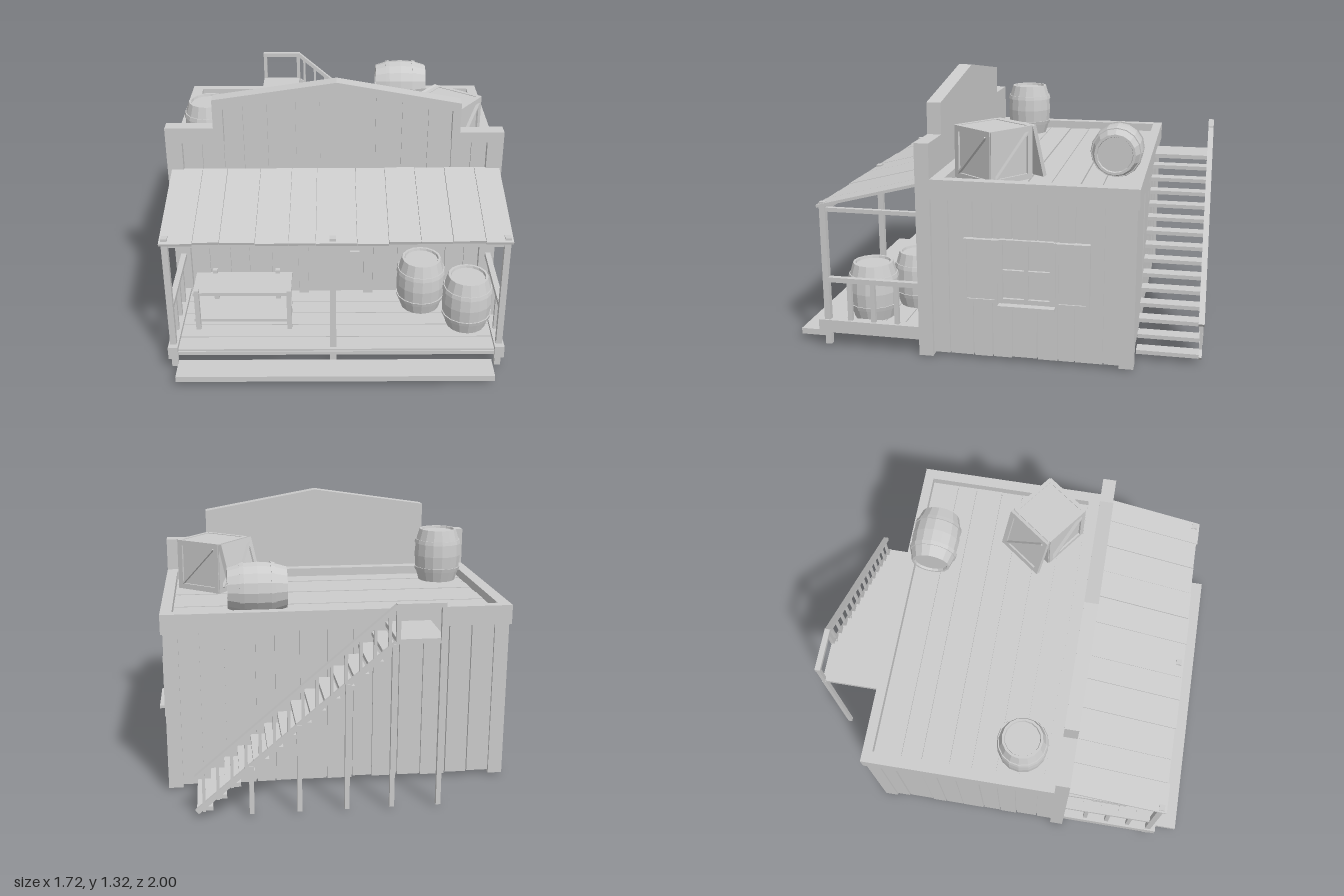
import * as THREE from 'three';

const material = new THREE.MeshStandardMaterial({ color: 0xcccccc, flatShading: true, side: THREE.DoubleSide });

let seed = 7;
const rand = () => (seed = (seed * 16807) % 2147483647) / 2147483647;

function add(parent, name, geometry) {
  const mesh = new THREE.Mesh(geometry, material);
  mesh.name = name;
  parent.add(mesh);
  return mesh;
}

// Box given by its lower and upper limits on each axis
function block(parent, name, x0, x1, y0, y1, z0, z1) {
  const mesh = add(parent, name, new THREE.BoxGeometry(x1 - x0, y1 - y0, z1 - z0));
  mesh.position.set((x0 + x1) / 2, (y0 + y1) / 2, (z0 + z1) / 2);
  return mesh;
}

// Square bar between two points
function bar(parent, name, a, b, t, w = t) {
  const p = new THREE.Vector3(...a), q = new THREE.Vector3(...b);
  const mesh = add(parent, name, new THREE.BoxGeometry(w, t, p.distanceTo(q)));
  mesh.position.copy(p).add(q).multiplyScalar(0.5);
  mesh.lookAt(q);
  return mesh;
}

function plate(parent, name, points, z0, z1) {
  const shape = new THREE.Shape(points.map(p => new THREE.Vector2(...p)));
  const mesh = add(parent, name, new THREE.ExtrudeGeometry(shape, { depth: z1 - z0, bevelEnabled: false }));
  mesh.position.z = z0;
  return mesh;
}

function group(parent, name) {
  const g = new THREE.Group();
  g.name = name;
  parent.add(g);
  return g;
}

// Uneven cuts between a and b
function cuts(a, b, n) {
  const step = (b - a) / n;
  return Array.from({ length: n + 1 }, (_, i) => a + i * step + (i % n ? (rand() - 0.5) * step * 0.35 : 0));
}

function barrel(parent, x, y, z) {
  const g = group(parent, 'barrel');
  const lathe = pts => new THREE.LatheGeometry(pts.map(p => new THREE.Vector2(...p)), 16);
  add(g, 'staves', lathe([[0, -0.13], [0.085, -0.13], [0.088, -0.142], [0.1, -0.142], [0.12, -0.075], [0.126, 0],
    [0.12, 0.075], [0.1, 0.142], [0.088, 0.142], [0.085, 0.13], [0, 0.13]]));
  for (const s of [-1, 1]) {
    add(g, 'hoop', lathe([[0.118, s * 0.065], [0.127, s * 0.065], [0.122, s * 0.085], [0.113, s * 0.085]]));
  }
  g.position.set(x, y, z);
  return g;
}

// Square panel with a raised frame and a diagonal brace, facing +z
function bracedPanel(parent, name, size) {
  const g = group(parent, name), h = size / 2, w = 0.028;
  block(g, 'board', -h, h, -h, h, -0.012, 0);
  for (const s of [-1, 1]) {
    block(g, 'frameRail', -h, h, s * (h - w / 2) - w / 2, s * (h - w / 2) + w / 2, 0, 0.01);
    block(g, 'frameStile', s * (h - w / 2) - w / 2, s * (h - w / 2) + w / 2, -h + w, h - w, 0, 0.01);
  }
  bar(g, 'brace', [-h + w, -h + w, 0.003], [h - w, h - w, 0.003], 0.008, 0.03);
  return g;
}

function buildWalls(model) {
  const walls = group(model, 'walls');
  for (const [x0, x1] of [[-0.825, -0.79], [0.75, 0.785]]) block(walls, 'sideWall', x0, x1, 0.02, 0.84, -0.65, 0.3);
  block(walls, 'backWall', -0.8, 0.76, 0.02, 0.84, -0.65, -0.62);
  const side = cuts(-0.62, 0.3, 9), back = cuts(-0.8, 0.76, 13);
  for (let i = 0; i < 9; i++) {
    const d = rand() * 0.006, y = 0.012 + rand() * 0.012;
    block(walls, 'sideBoard', 0.78, 0.796 + d, y, 0.8, side[i] + 0.003, side[i + 1] - 0.003);
    block(walls, 'sideBoard', -0.836 - d, -0.82, y, 0.8, side[i] + 0.003, side[i + 1] - 0.003);
  }
  for (let i = 0; i < 13; i++) {
    block(walls, 'backBoard', back[i] + 0.003, back[i + 1] - 0.003, 0.012 + rand() * 0.012, 0.8, -0.664 - rand() * 0.006, -0.645);
  }
  for (const [x0, x1] of [[-0.85, -0.78], [0.74, 0.81]]) block(walls, 'cornerPost', x0, x1, 0.01, 0.79, -0.68, -0.61);

  // Roof deck inside a raised rim
  const roof = group(model, 'roof');
  block(roof, 'ceiling', -0.8, 0.77, 0.8, 0.83, -0.65, 0.3);
  const rows = cuts(-0.64, 0.23, 7);
  for (let i = 0; i < 7; i++) block(roof, 'roofPlank', -0.8, 0.77, 0.825, 0.838 + rand() * 0.006, rows[i] + 0.003, rows[i + 1] - 0.003);
  block(roof, 'sideRim', -0.86, -0.8, 0.79, 0.885, -0.69, 0.29);
  block(roof, 'sideRim', 0.765, 0.82, 0.79, 0.885, -0.69, 0.29);
  block(roof, 'backRim', -0.8, 0.765, 0.79, 0.885, -0.69, -0.64);
  block(roof, 'frontRim', -0.8, 0.765, 0.79, 0.885, 0.23, 0.29);
}

function buildFacade(model) {
  const facade = group(model, 'facade');
  plate(facade, 'facadeFrame', [[-0.86, 0], [-0.86, 1.08], [-0.62, 1.08], [-0.62, 1.23], [-0.01, 1.32], [0.6, 1.21],
    [0.6, 1.055], [0.82, 1.055], [0.82, 0], [0.74, 0], [0.74, 1], [0.56, 1], [0.56, 1.17], [-0.01, 1.275],
    [-0.57, 1.18], [-0.57, 1], [-0.78, 1], [-0.78, 0]], 0.29, 0.36);
  plate(facade, 'backing', [[-0.78, 0.02], [0.74, 0.02], [0.74, 1], [0.56, 1], [0.56, 1.17], [-0.01, 1.275],
    [-0.57, 1.18], [-0.57, 1], [-0.78, 1]], 0.29, 0.325);
  const top = x => x < -0.01 ? 1.275 + (x + 0.01) * 0.17 : 1.275 - (x + 0.01) * 0.184;
  const edges = [-0.78, -0.68, -0.57, -0.47, -0.35, -0.21, -0.09, -0.01, 0.18, 0.31, 0.44, 0.56, 0.66, 0.74];
  for (let i = 0; i < edges.length - 1; i++) {
    const a = edges[i], b = edges[i + 1], low = b < -0.56 || a > 0.55, g = 0.003;
    plate(facade, 'facadeBoard', [[a + g, 0.02], [b - g, 0.02], [b - g, low ? 1 : top(b)], [a + g, low ? 1 : top(a)]],
      0.32, 0.337 + rand() * 0.007);
  }
  // Door
  block(facade, 'door', -0.16, 0.13, 0.12, 0.59, 0.33, 0.355);
  block(facade, 'doorHandle', 0.06, 0.11, 0.33, 0.37, 0.355, 0.37);
  plate(facade, 'doorFrame', [[-0.21, 0.12], [-0.21, 0.63], [0.18, 0.63], [0.18, 0.12], [0.13, 0.12], [0.13, 0.59],
    [-0.16, 0.59], [-0.16, 0.12]], 0.33, 0.378);
}

function buildWindow(model) {
  const w = group(model, 'window');
  block(w, 'pane', 0.785, 0.804, 0.3, 0.61, -0.3, -0.04);
  for (const [z, t] of [[-0.295, 0.025], [-0.17, 0.02], [-0.045, 0.025]]) block(w, 'upright', 0.79, 0.822, 0.3, 0.61, z - t / 2, z + t / 2);
  for (const [y, t] of [[0.31, 0.025], [0.455, 0.02], [0.6, 0.025]]) block(w, 'crossbar', 0.79, 0.82, y - t / 2, y + t / 2, -0.3, -0.04);
  block(w, 'sill', 0.79, 0.86, 0.285, 0.3, -0.31, -0.04);
  for (const [z0, z1] of [[-0.47, -0.31], [-0.035, 0.13]]) {
    block(w, 'shutter', 0.79, 0.818, 0.3, 0.61, z0, z1);
    for (const z of [z0, z1 - 0.015]) block(w, 'shutterStile', 0.79, 0.826, 0.3, 0.61, z, z + 0.015);
    for (const y of [0.3, 0.595]) block(w, 'shutterRail', 0.79, 0.826, y, y + 0.015, z0, z1);
  }
}

function buildPorch(model) {
  const porch = group(model, 'porch');
  block(porch, 'floorBase', -0.8, 0.77, 0.09, 0.11, 0.34, 0.87);
  for (let i = 0; i < 5; i++) block(porch, 'floorPlank', -0.79, 0.77, 0.1, 0.121, 0.36 + i * 0.102, 0.457 + i * 0.102);
  block(porch, 'step', -0.79, 0.75, 0.03, 0.06, 0.87, 1);
  for (const x of [-0.815, 0.785]) {
    block(porch, 'endBeam', x - 0.024, x + 0.024, 0.075, 0.14, 0.36, 0.88);
    block(porch, 'awningBeam', x - 0.012, x + 0.012, 0.695, 0.715, 0.36, 0.84);
    block(porch, 'sideRail', x - 0.014, x + 0.014, 0.335, 0.36, 0.36, 0.83);
    for (const z of [0.48, 0.6, 0.72]) block(porch, 'baluster', x - 0.011, x + 0.011, 0.13, 0.34, z - 0.011, z + 0.011);
  }
  block(porch, 'frontBeam', -0.815, 0.785, 0.692, 0.714, 0.825, 0.845);
  for (const x of [-0.815, -0.03, 0.785]) block(porch, 'porchPost', x - 0.015, x + 0.015, 0.01, 0.742, 0.822, 0.852);
  // Sloping awning of uneven boards
  const edges = cuts(-0.84, 0.81, 11);
  for (let i = 0; i < 11; i++) {
    const e = rand() * 0.012, lift = rand() * 0.006;
    bar(porch, 'awningBoard', [(edges[i] + edges[i + 1]) / 2, 0.848 + lift, 0.35],
      [(edges[i] + edges[i + 1]) / 2, 0.718 + lift - e * 0.26, 0.855 + e], 0.014, edges[i + 1] - edges[i] - 0.002);
  }
  // Low bench with a shelf
  const bench = group(porch, 'bench');
  block(bench, 'benchTop', -0.73, -0.24, 0.315, 0.332, 0.5, 0.69);
  block(bench, 'benchShelf', -0.73, -0.24, 0.16, 0.175, 0.5, 0.69);
  for (const [x, z] of [[-0.71, 0.69], [-0.635, 0.5], [-0.315, 0.5], [-0.25, 0.69]]) {
    block(bench, 'benchLeg', x - 0.012, x + 0.012, 0.12, 0.35, z - 0.012, z + 0.012);
  }
  barrel(porch, 0.425, 0.262, 0.475);
  barrel(porch, 0.645, 0.264, 0.645);
}

function buildStairs(model) {
  const stairs = group(model, 'backStairs');
  const n = 14, run = 0.91 / n, rise = 0.78 / n, z = -0.985;
  block(stairs, 'landing', -0.46, -0.24, 0.8, 0.822, -0.99, -0.68);
  for (let i = 0; i < n; i++) {
    const x = 0.67 - i * run, y = 0.03 + i * rise;
    block(stairs, 'tread', x - run - 0.008, x, y, y + 0.02, -0.98, -0.68);
    block(stairs, 'baluster', x - run / 2 - 0.007, x - run / 2 + 0.007, y, y + 0.19, z - 0.007, z + 0.007);
  }
  bar(stairs, 'handrail', [0.67, 0.2, z], [-0.24, 0.975, z], 0.02, 0.028);
  bar(stairs, 'stringer', [0.67, 0.03, z], [-0.24, 0.805, z], 0.025, 0.015);
  block(stairs, 'landingRail', -0.46, -0.235, 0.965, 0.987, z - 0.014, z + 0.014);
  for (const x of [-0.45, -0.245]) block(stairs, 'landingPost', x - 0.01, x + 0.01, 0.8, 0.97, z - 0.01, z + 0.01);
  // Thin legs from the ground up to the flight
  [-0.45, -0.23, -0.02, 0.2, 0.42].forEach((x, i) => {
    const y = i ? 0.03 + (0.67 - x) / 0.91 * 0.78 : 0.8;
    block(stairs, 'stairLeg', x - 0.011, x + 0.011, 0.01, y, z - 0.011, z + 0.011);
  });
}

function buildRoofGoods(model) {
  barrel(model, -0.67, 0.98, 0.1);
  barrel(model, 0.36, 0.968, -0.54).rotation.z = Math.PI / 2;
  const crate = group(model, 'crate');
  const h = 0.135;
  for (let i = 0; i < 4; i++) {
    const side = bracedPanel(crate, 'crateSide', h * 2 - 0.01);
    side.rotation.y = i * Math.PI / 2;
    side.position.set(Math.sin(side.rotation.y) * (h - 0.01), h, Math.cos(side.rotation.y) * (h - 0.01));
  }
  block(crate, 'crateTop', -h + 0.015, h - 0.015, 0.25, 0.262, -h + 0.015, h - 0.015);
  // Loose lid leaning on one side
  const lid = group(crate, 'leaningLid');
  const panel = bracedPanel(lid, 'lid', 0.27);
  panel.rotation.x = -0.27;
  lid.rotation.y = -Math.PI / 2;
  lid.position.set(-h - 0.045, 0.133, 0);
  crate.position.set(0.565, 0.84, 0.04);
  crate.rotation.y = -0.64;
}

export function createModel() {
  seed = 7;
  const model = new THREE.Group();
  model.name = 'frontierStore';
  buildWalls(model);
  buildFacade(model);
  buildWindow(model);
  buildPorch(model);
  buildStairs(model);
  buildRoofGoods(model);
  return model;
}
